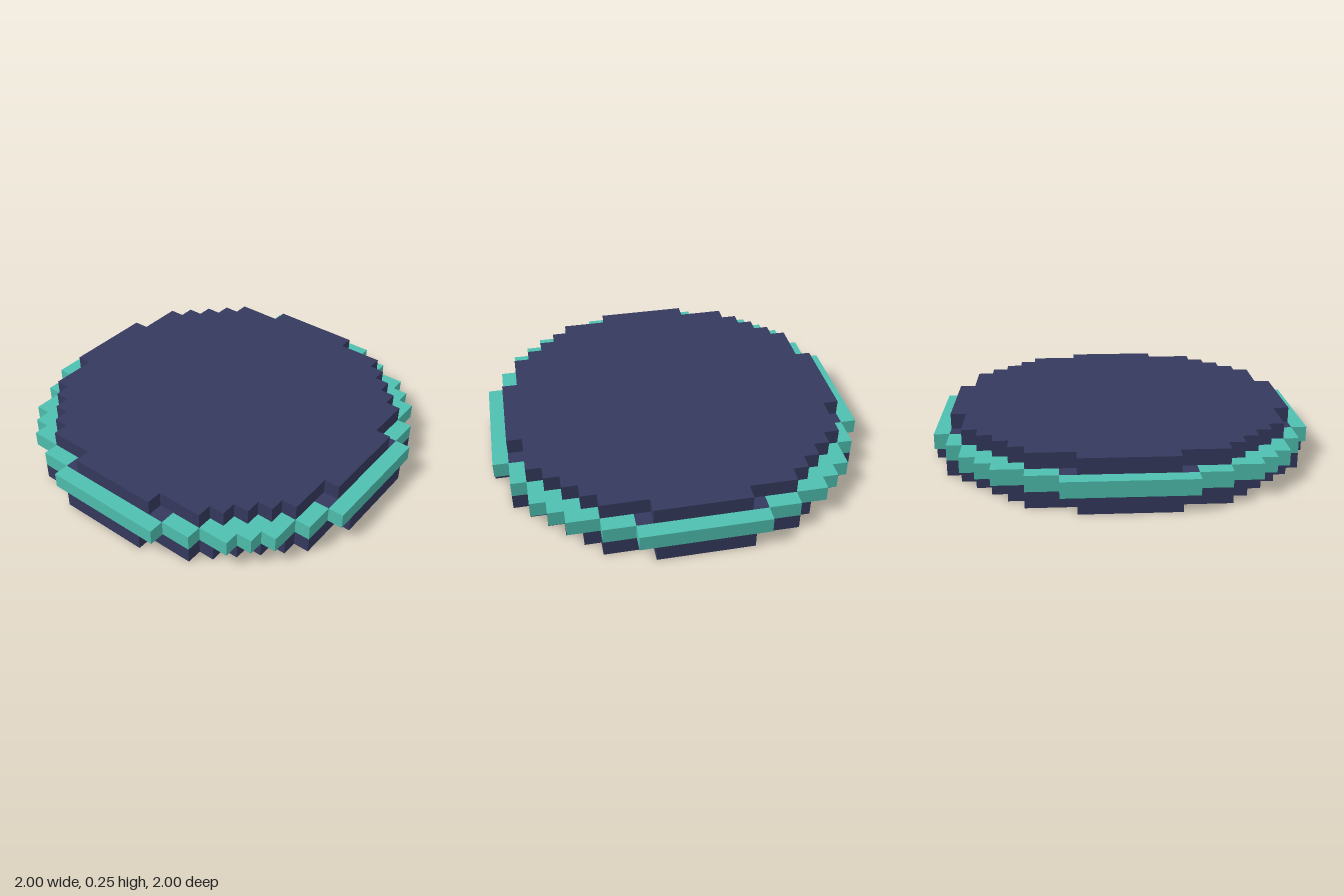
import * as THREE from 'three';

const U = 1 / 12; // one block

// Stepped round outline: rows of [half width, row end], repeated in four quadrants
function outline(rows) {
  const quarter = [];
  rows.forEach(([w, end], i) => {
    quarter.push([w, end]);
    if (i < rows.length - 1) quarter.push([rows[i + 1][0], end]);
  });
  const points = [];
  for (let q = 0; q < 4; q++) {
    for (const [x, y] of quarter) {
      const [px, py] = [[x, y], [-y, x], [-x, -y], [y, -x]][q];
      points.push(new THREE.Vector2(px * U, py * U));
    }
  }
  return points;
}

// One block-high layer, optionally hollow
function layer(name, rows, level, material, holeRows) {
  const shape = new THREE.Shape(outline(rows));
  if (holeRows) shape.holes.push(new THREE.Path(outline(holeRows)));
  const geometry = new THREE.ExtrudeGeometry(shape, { depth: U, bevelEnabled: false });
  geometry.rotateX(-Math.PI / 2);
  geometry.translate(0, level * U, 0);
  const mesh = new THREE.Mesh(geometry, material);
  mesh.name = name;
  return mesh;
}

export function createModel() {
  const navy = new THREE.MeshStandardMaterial({ name: 'navy', color: 0x353a5e });
  const teal = new THREE.MeshStandardMaterial({ name: 'teal', color: 0x4fc0b0 });

  const baseRows = [[12, 3], [11, 6], [10, 7], [9, 8], [8, 9], [7, 10], [6, 11], [3, 12]];
  const ringRows = [[12, 4], [11, 6], [10, 8], [9, 9], [8, 10], [6, 11], [4, 12]];
  const coreRows = [[11, 4], [10, 6], [9, 7], [8, 8], [7, 9], [6, 10], [4, 11]];
  const topRows = [[11, 3], [10, 6], [9, 7], [8, 8], [7, 9], [6, 10], [3, 11]];

  const group = new THREE.Group();
  group.name = 'roundPlatform';
  group.add(
    layer('base', baseRows, 0, navy),
    layer('rimRing', ringRows, 1, teal, coreRows),
    layer('core', coreRows, 1, navy),
    layer('topPlate', topRows, 2, navy),
  );
  return group;
}
